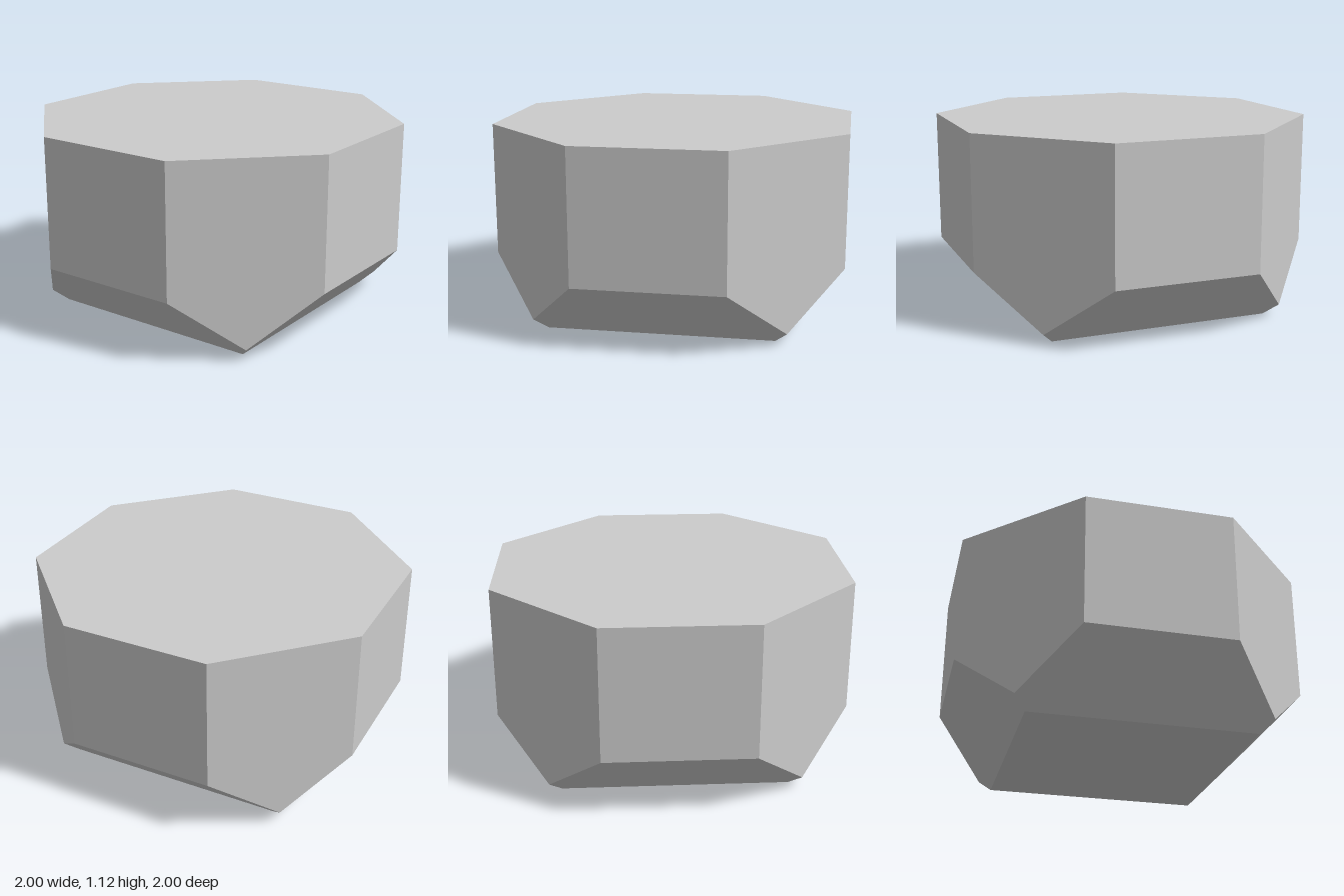
import * as THREE from 'three';
import { ConvexGeometry } from 'three/addons/geometries/ConvexGeometry.js';

// Octagonal block whose four axis-facing sides are cut inward at 45 degrees below
export function createModel() {
  const group = new THREE.Group();
  group.name = 'octagonalBlock';

  const height = 1.115;
  const base = 0.64;                    // half width of the square underside
  const half = Math.tan(Math.PI / 8);   // half length of an octagon side
  const corner = (1 + half) / 2;        // where a diagonal side narrows to a point

  const points = [];
  for (const sx of [-1, 1]) {
    for (const sz of [-1, 1]) {
      const add = (x, y, z) => points.push(new THREE.Vector3(sx * x, y, sz * z));
      // Top rim and the upper edge of the bevels
      for (const y of [height, 1 - base]) {
        add(1, y, half);
        add(half, y, 1);
      }
      // Lower tip of the diagonal side, then the underside corner
      add(corner, corner - base, corner);
      add(base, 0, base);
    }
  }

  const body = new THREE.Mesh(
    new ConvexGeometry(points),
    new THREE.MeshStandardMaterial({ color: 0xcccccc, flatShading: true })
  );
  body.name = 'body';
  group.add(body);
  return group;
}
